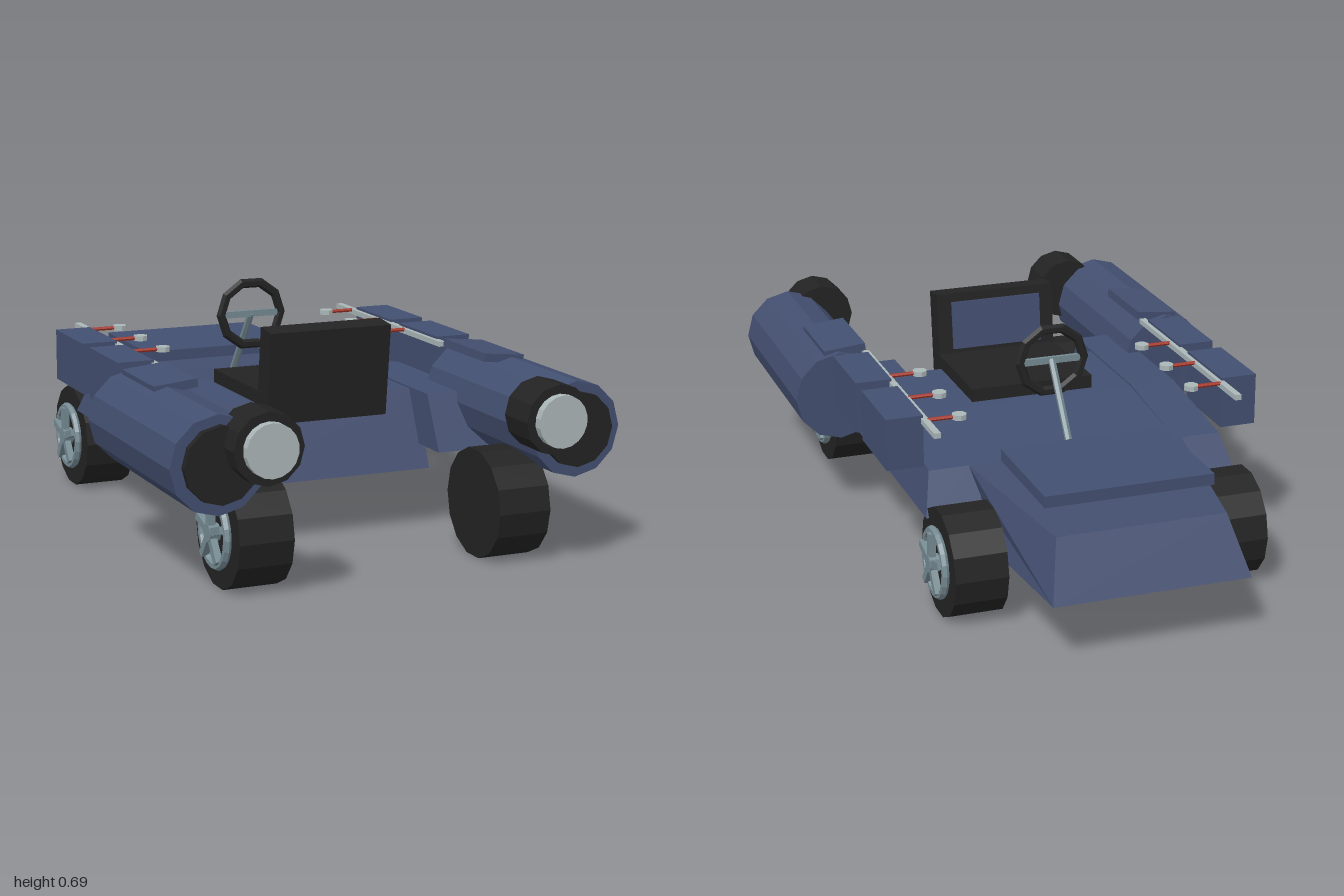
import * as THREE from 'three';

function material(name, color) {
  const m = new THREE.MeshStandardMaterial({ color, flatShading: true });
  m.name = name;
  return m;
}

export function createModel() {
  const blue = material('navy paint', 0x434f70);
  const black = material('black rubber', 0x232323);
  const steel = material('grey steel', 0x758a92);
  const pale = material('pale metal', 0xabb6b8);
  const red = material('red lever', 0xa8382a);

  const model = new THREE.Group();
  model.name = 'jetCart';

  function add(name, geometry, mat, x = 0, y = 0, z = 0, parent = model) {
    const mesh = new THREE.Mesh(geometry, mat);
    mesh.name = name;
    mesh.position.set(x, y, z);
    parent.add(mesh);
    return mesh;
  }
  const box = (w, h, d) => new THREE.BoxGeometry(w, h, d);
  const cylX = (r, len, n) => new THREE.CylinderGeometry(r, r, len, n).rotateZ(Math.PI / 2);
  const cylZ = (r, len, n) => new THREE.CylinderGeometry(r, r, len, n).rotateX(Math.PI / 2);

  // Side profile of [z, y] points swept across x; place(side, z, y) gives the final x
  function slab(profile, place) {
    const shape = new THREE.Shape(profile.map(([z, y]) => new THREE.Vector2(z, y)));
    const g = new THREE.ExtrudeGeometry(shape, { depth: 2, bevelEnabled: false });
    g.translate(0, 0, -1).rotateY(-Math.PI / 2);
    const p = g.attributes.position;
    for (let i = 0; i < p.count; i++) p.setX(i, place(p.getX(i), p.getZ(i), p.getY(i)));
    g.computeVertexNormals();
    return g;
  }

  // Chassis, narrowing to the nose
  const chassis = [[0.4, 0.19], [0.3, 0.415], [-0.05, 0.415], [-0.4, 0.375],
    [-0.91, 0.352], [-1, 0.19], [-0.5, 0.19]];
  add('chassis', slab(chassis, (side, z) =>
    side * (z < -0.95 ? 0.29 : z < -0.8 ? 0.25 : 0.33)), blue);
  add('noseHatch', box(0.5, 0.034, 0.37), blue, 0, 0.417, -0.635);

  // Seat
  add('seatCushion', box(0.385, 0.085, 0.38), black, 0, 0.413, 0.175);
  const back = new THREE.Group();
  back.name = 'seatBack';
  back.position.set(0, 0.37, 0.35);
  back.rotation.x = 0.11;
  model.add(back);
  add('backrest', box(0.38, 0.274, 0.075), black, 0, 0.135, 0, back);
  add('backrestPanel', box(0.29, 0.15, 0.009), blue, 0, 0.17, -0.041, back);

  // Steering wheel and column
  add('steeringWheel', new THREE.TorusGeometry(0.1, 0.015, 6, 10), black, 0, 0.585, -0.185);
  add('steeringSpoke', box(0.19, 0.02, 0.012), steel, 0, 0.585, -0.185);
  const column = add('steeringColumn', new THREE.CylinderGeometry(0.011, 0.011, 0.25, 6), steel,
    0, 0.485, -0.258);
  column.rotation.x = Math.atan2(0.145, 0.2);

  // Wheel with ring, spokes and hub on its outer face
  function wheel(name, s, z, x, width) {
    const g = new THREE.Group();
    g.name = name;
    g.position.set(s * x, 0.16, z);
    model.add(g);
    add('tyre', cylX(0.16, width, 14), black, 0, 0, 0, g);
    const face = s * width / 2;
    add('rim', new THREE.TorusGeometry(0.094, 0.013, 6, 20).rotateY(Math.PI / 2), steel,
      face + s * 0.008, 0, 0, g);
    add('hub', cylX(0.026, 0.034, 10), steel, face + s * 0.015, 0, 0, g);
    for (let i = 0; i < 5; i++) {
      const a = i * Math.PI * 2 / 5;
      const spoke = add('spoke', box(0.02, 0.092, 0.022), steel,
        face + s * 0.02, 0.046 * Math.cos(a), 0.046 * Math.sin(a), g);
      spoke.rotation.x = a;
    }
  }

  for (const s of [1, -1]) {
    const label = s > 0 ? 'left' : 'right';
    wheel(label + 'NoseWheel', s, -0.555, 0.394, 0.156);
    wheel(label + 'EngineWheel', s, 0.71, 0.394, 0.16);

    // Side pod with sloping ends and flank
    const pod = [[0.5, 0.26], [0.42, 0.42], [-0.05, 0.42], [-0.4, 0.375], [-0.47, 0.26]];
    add(label + 'SidePod', slab(pod, (side, z, y) =>
      side * s > 0 ? s * (y < 0.3 ? 0.48 : 0.45) : s * 0.31), blue);

    // Side boxes
    for (const z of [-0.26, 0.058])
      add(label + 'SideBox', box(0.11, 0.155, 0.256), blue, s * 0.515, 0.463, z);

    // Engine pod, its cover plate, rear cap and nozzle
    add(label + 'Engine', cylZ(0.138, 0.655, 12), blue, s * 0.54, 0.392, 0.558);
    const cover = add(label + 'EngineCover', box(0.13, 0.025, 0.26), blue, s * 0.515, 0.528, 0.38);
    cover.rotation.z = -s * 0.1;
    add(label + 'EngineCap', cylZ(0.108, 0.04, 12), black, s * 0.537, 0.395, 0.887);
    add(label + 'Nozzle', cylZ(0.101, 0.125, 12), black, s * 0.433, 0.445, 0.912);
    add(label + 'NozzleCore', cylZ(0.075, 0.04, 18), pale, s * 0.433, 0.445, 0.98);

    // Control rail with three levers
    add(label + 'Rail', box(0.02, 0.016, 0.74), pale, s * 0.457, 0.525, -0.145);
    for (const z of [-0.4, -0.21, -0.015]) {
      add(label + 'Lever', cylX(0.006, 0.08, 6), red, s * 0.41, 0.53, z);
      add(label + 'LeverKnob', new THREE.CylinderGeometry(0.022, 0.022, 0.015, 8), pale,
        s * 0.357, 0.53, z);
    }
  }
  return model;
}
